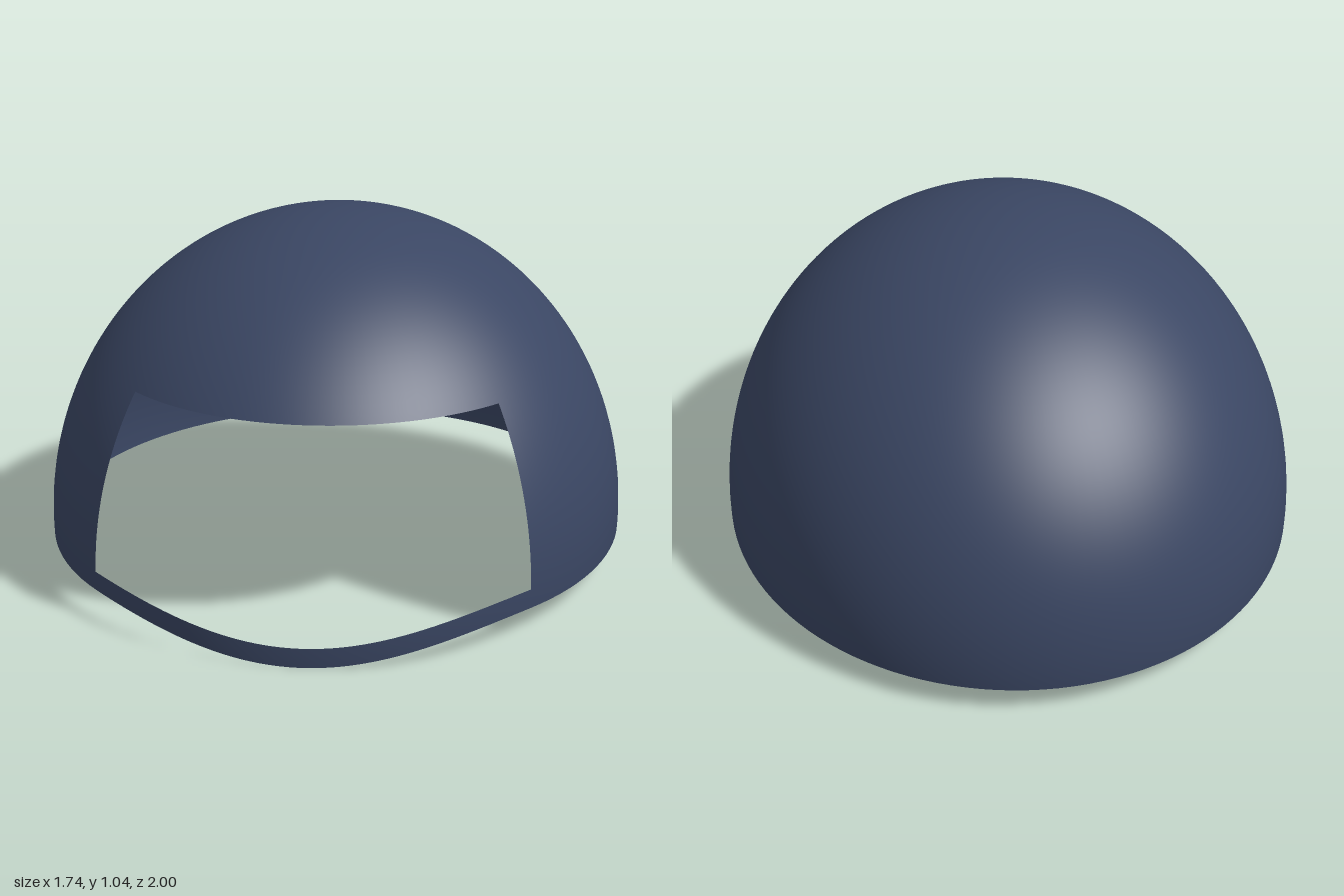
import * as THREE from 'three';

// Ellipsoid dome: half-sizes and centre height
const RX = 0.87, RY = 0.912, RZ = 1, CY = 0.125;
// Heights of the rim, the top of the chin strip and the brow edge
const RIM = 0.075, CHIN = 0.132, BROW = 0.634;
// The face opening spans 45 degrees either side of the front
const HALF = Math.PI / 4, FRONT = Math.PI / 2;

const theta = (y) => Math.acos((y - CY) / RY);

// Patch of the dome between two heights and over a range of azimuth
function domePatch(yTop, yBottom, start, length, columns, rows) {
  const t = theta(yTop);
  const geo = new THREE.SphereGeometry(1, columns, rows, start, length, t, theta(yBottom) - t);
  geo.scale(RX, RY, RZ);
  geo.translate(0, CY, 0);
  return geo;
}

export function createModel() {
  const group = new THREE.Group();
  group.name = 'helmet';
  const shell = new THREE.MeshStandardMaterial({ color: 0x3a4663, side: THREE.DoubleSide });
  shell.name = 'navy shell';

  const add = (name, geo) => {
    const mesh = new THREE.Mesh(geo, shell);
    mesh.name = name;
    group.add(mesh);
  };

  // Crown above the face opening
  add('crown', domePatch(CY + RY, BROW, 0, Math.PI * 2, 128, 32));

  // Sides and back, wrapping around behind the opening
  add('sidesAndBack', domePatch(BROW, RIM, FRONT + HALF, Math.PI * 2 - 2 * HALF, 96, 24));

  // Chin strip under the opening, dipping smoothly to its lowest point in front
  const chin = domePatch(CHIN, RIM, FRONT - HALF, 2 * HALF, 48, 4);
  const pos = chin.attributes.position;
  for (let i = 0; i < pos.count; i++) {
    const a = Math.atan2(pos.getX(i) / RX, pos.getZ(i) / RZ);
    pos.setY(i, pos.getY(i) - RIM * Math.cos(2 * a) ** 2);
  }
  add('chinStrip', chin);

  return group;
}
